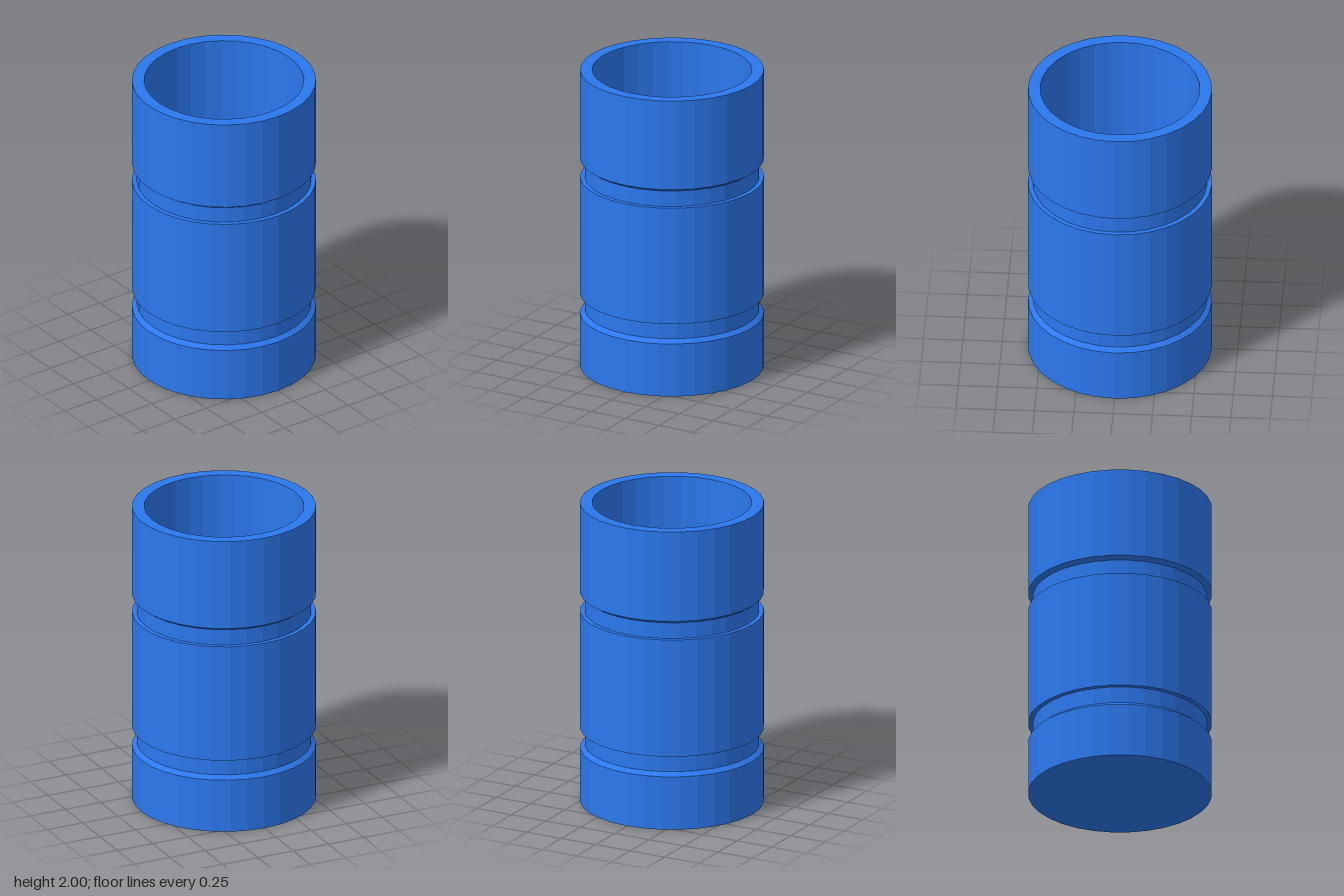
import * as THREE from 'three';

const SIDES = 32;
const OUTER = 0.585, GROOVE = 0.555, INNER = 0.508, FLOOR = 0.08;

function lathe(name, profile, material) {
  const points = profile.map(([r, y]) => new THREE.Vector2(r, y));
  const mesh = new THREE.Mesh(new THREE.LatheGeometry(points, SIDES), material);
  mesh.name = name;
  return mesh;
}

export function createModel() {
  const model = new THREE.Group();
  model.name = 'groovedCup';
  const blue = new THREE.MeshStandardMaterial({ color: 0x2c78ee, flatShading: true });

  // Outer shell with two grooves, each square on the inner side and bevelled on the other
  model.add(lathe('outerShell', [
    [0, 0], [OUTER, 0],
    [OUTER, 0.355], [GROOVE, 0.38], [GROOVE, 0.49], [OUTER, 0.49],
    [OUTER, 1.275], [GROOVE, 1.275], [GROOVE, 1.38], [OUTER, 1.4],
    [OUTER, 2],
  ], blue));

  // Flat rim around the opening
  model.add(lathe('rim', [[OUTER, 2], [INNER, 2]], blue));

  // Straight inner wall and floor
  model.add(lathe('cavity', [[INNER, 2], [INNER, FLOOR], [0, FLOOR]], blue));

  return model;
}
